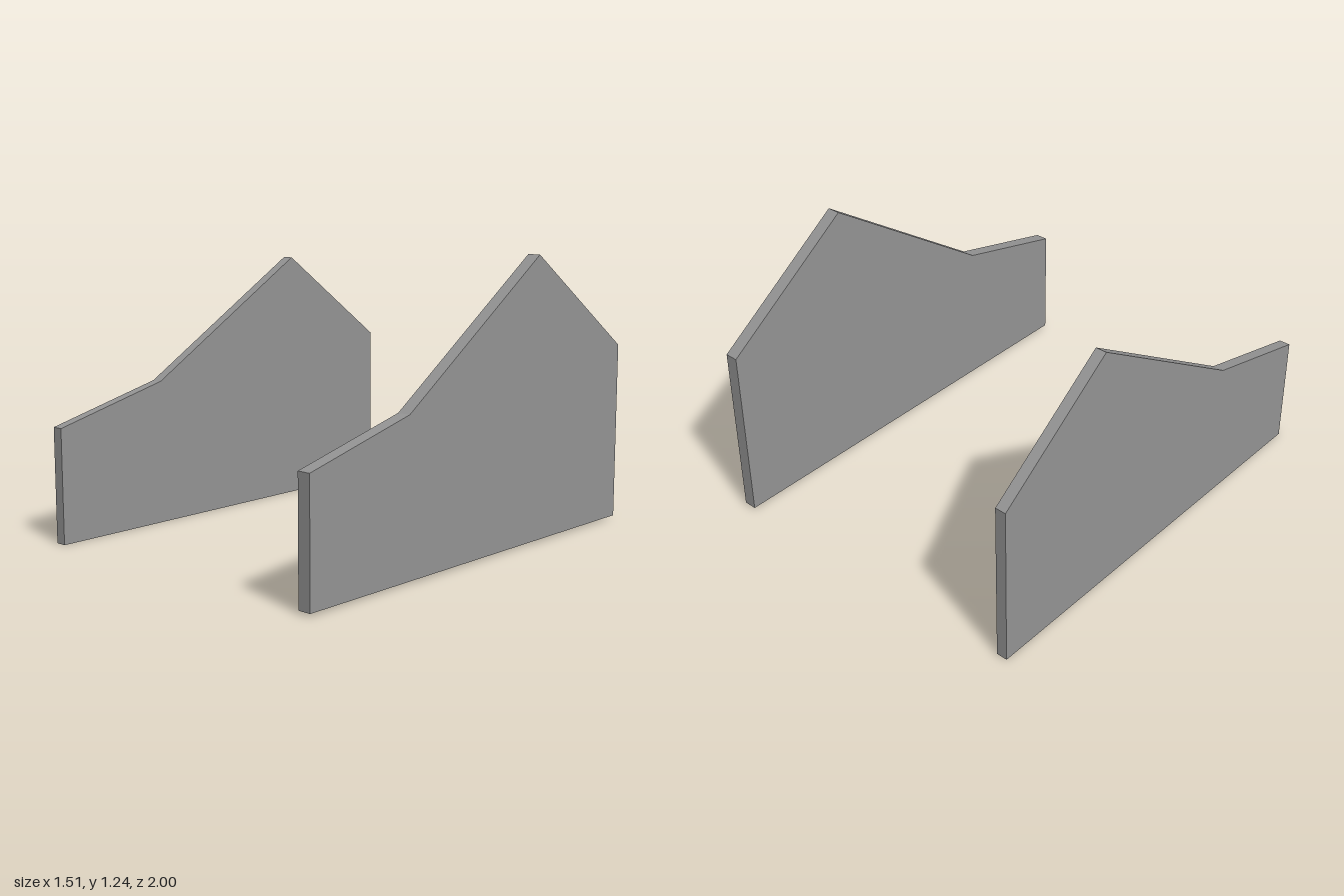
import * as THREE from 'three';

const SPLIT_Z = 0.45; // the underside is closed only in front of this line

// Upright panel from a (z, y) outline, extruded from x0 to x1, open below behind SPLIT_Z
function panelGeometry(outline, x0, x1) {
  const shape = new THREE.Shape(outline.map(([z, y]) => new THREE.Vector2(-z, y)));
  const solid = new THREE.ExtrudeGeometry(shape, { depth: x1 - x0, bevelEnabled: false });
  solid.rotateY(Math.PI / 2).translate(x0, 0, 0);

  const flat = solid.index ? solid.toNonIndexed() : solid;
  const p = flat.getAttribute('position');
  const floor = outline[0][1];
  const kept = [];
  for (let i = 0; i < p.count; i += 3) {
    const tri = [i, i + 1, i + 2];
    const underside = tri.every(k => Math.abs(p.getY(k) - floor) < 1e-4);
    const rear = tri.every(k => p.getZ(k) < SPLIT_Z + 1e-4);
    if (underside && rear) continue;
    tri.forEach(k => kept.push(p.getX(k), p.getY(k), p.getZ(k)));
  }
  const geometry = new THREE.BufferGeometry();
  geometry.setAttribute('position', new THREE.Float32BufferAttribute(kept, 3));
  geometry.computeVertexNormals();
  return geometry;
}

export function createModel() {
  const group = new THREE.Group();
  group.name = 'sidePanels';

  const grey = new THREE.MeshStandardMaterial({ color: 0x949494, side: THREE.DoubleSide });
  grey.name = 'grey';

  const panels = [
    // Slightly larger panel on the model's left
    { name: 'leftPanel', x: [0.693, 0.752], outline: [
      [1, 0.012], [SPLIT_Z, 0.012], [-1, 0.012], [-1, 0.8],
      [-0.38, 1.236], [0.45, 0.67], [1, 0.531]] },
    // Slightly smaller panel on the model's right
    { name: 'rightPanel', x: [-0.756, -0.706], outline: [
      [0.998, 0], [SPLIT_Z, 0], [-0.963, 0], [-0.963, 0.737],
      [-0.388, 1.154], [0.447, 0.645], [0.998, 0.506]] },
  ];
  for (const { name, x, outline } of panels) {
    const mesh = new THREE.Mesh(panelGeometry(outline, x[0], x[1]), grey);
    mesh.name = name;
    group.add(mesh);
  }
  return group;
}
